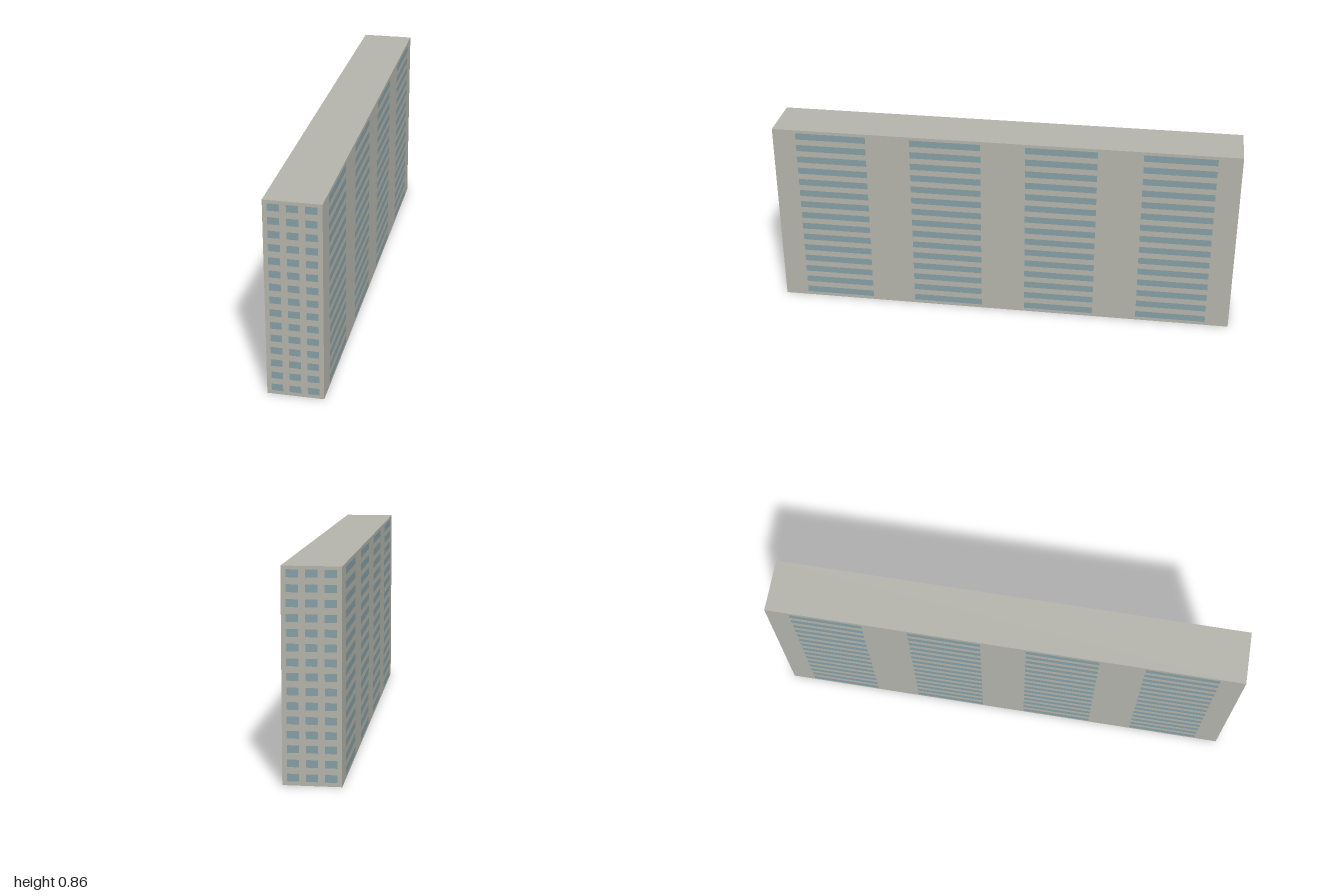
import * as THREE from 'three';

const WIDTH = 0.235, LENGTH = 2.08, HEIGHT = 0.86;
const ROWS = 15, ROW_PITCH = 0.0571, FIRST_ROW = 0.032, PANE_HEIGHT = 0.0305;

export function createModel() {
  const concrete = new THREE.MeshStandardMaterial({ color: 0xb4b4ac, side: THREE.DoubleSide });
  concrete.name = 'concrete';
  const glass = new THREE.MeshStandardMaterial({ color: 0x869fa5 });
  glass.name = 'window glass';

  // One facade: a wall sheet facing local +z with a grid of thin panes in front
  function facade(name, span, columns, pitch, paneWidth) {
    const group = new THREE.Group();
    group.name = name;
    const wall = new THREE.Mesh(new THREE.PlaneGeometry(span, HEIGHT), concrete);
    wall.name = name + 'Wall';
    wall.position.y = HEIGHT / 2;
    group.add(wall);

    const paneGeometry = new THREE.PlaneGeometry(span * paneWidth, PANE_HEIGHT);
    for (let row = 0; row < ROWS; row++) {
      for (let col = 0; col < columns; col++) {
        const pane = new THREE.Mesh(paneGeometry, glass);
        pane.name = 'window';
        pane.position.set(
          (col - (columns - 1) / 2) * pitch * span,
          FIRST_ROW + row * ROW_PITCH,
          0.0015
        );
        group.add(pane);
      }
    }
    return group;
  }

  const building = new THREE.Group();
  building.name = 'apartmentBlock';

  // Mirrored pairs of long sides and short ends
  for (const s of [1, -1]) {
    const side = facade(s > 0 ? 'leftSide' : 'rightSide', LENGTH, 4, 0.2485, 0.153);
    side.position.x = s * WIDTH / 2;
    side.rotation.y = s * Math.PI / 2;

    const end = facade(s > 0 ? 'frontEnd' : 'backEnd', WIDTH, 3, 0.317, 0.203);
    end.position.z = s * LENGTH / 2;
    end.rotation.y = s > 0 ? 0 : Math.PI;
    building.add(side, end);
  }

  // Flat roof; the underside stays open
  const roof = new THREE.Mesh(new THREE.PlaneGeometry(WIDTH, LENGTH), concrete);
  roof.name = 'roof';
  roof.rotation.x = -Math.PI / 2;
  roof.position.y = HEIGHT;
  building.add(roof);

  // The block stands at an angle on its site
  building.rotation.y = 0.409;

  const model = new THREE.Group();
  model.name = 'building';
  model.add(building);
  return model;
}
